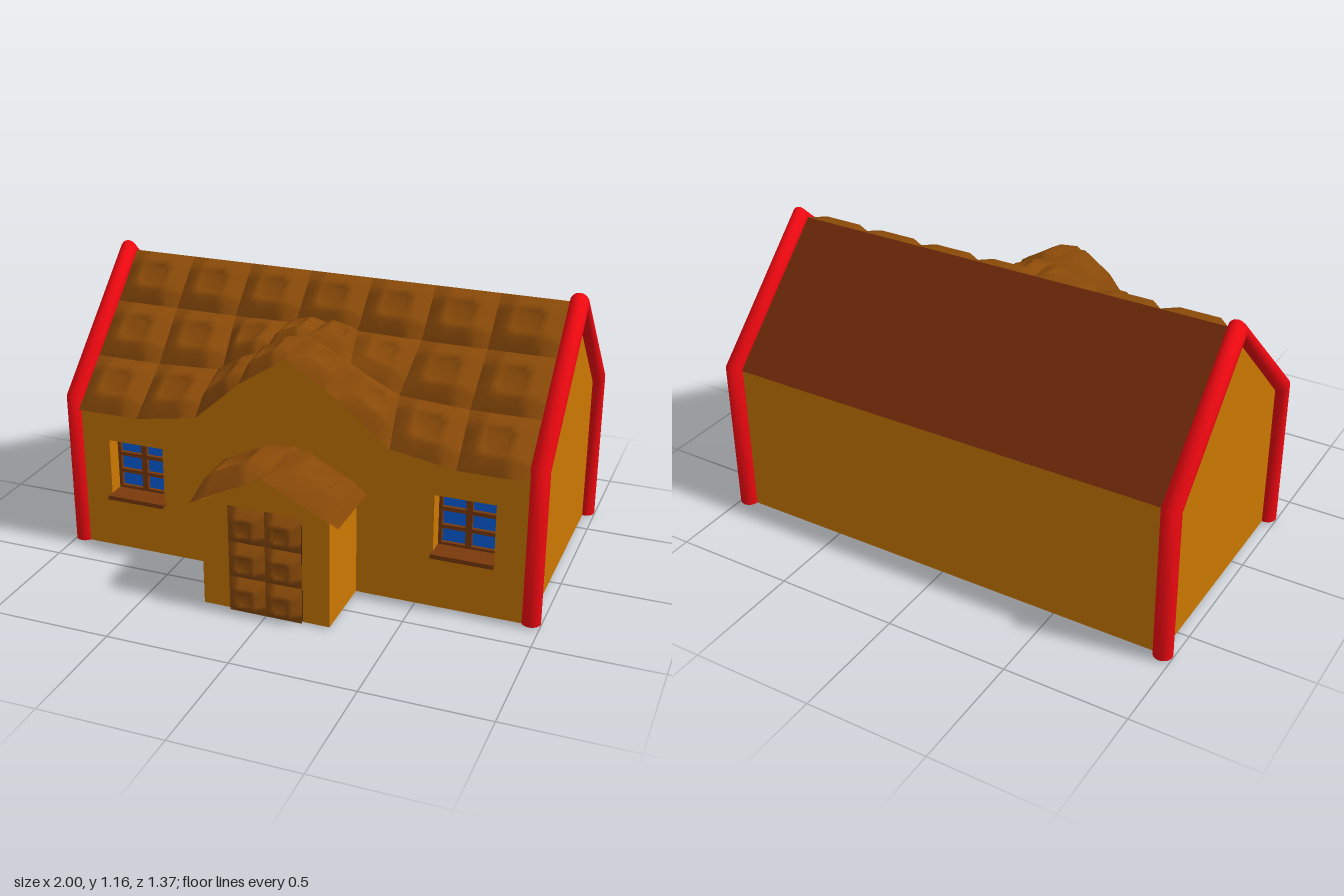
import * as THREE from 'three';

const mat = (color, side = THREE.DoubleSide) => new THREE.MeshStandardMaterial({ color, side });
const wallMat = mat(0xcb7800), tileMat = mat(0x8a4a08), redMat = mat(0xee0810, THREE.FrontSide);
const roofMat = mat(0x6f2908), woodMat = mat(0x7a3a0a), glassMat = mat(0x0a62e0), darkMat = mat(0x050505);

const FRONT = 0.36, BACK = -0.645, PORCH = 0.65, EAVE = 0.65, RIDGE_Y = 1.13, RIDGE_Z = -0.165;

function add(group, name, geometry, material, x = 0, y = 0, z = 0) {
  const mesh = new THREE.Mesh(geometry, material);
  mesh.name = name;
  mesh.position.set(x, y, z);
  group.add(mesh);
}

const shape = pts => new THREE.Shape(pts.map(p => new THREE.Vector2(...p)));

function indexed(pos, idx) {
  const g = new THREE.BufferGeometry();
  g.setAttribute('position', new THREE.Float32BufferAttribute(pos, 3));
  g.setIndex(idx);
  g.computeVertexNormals();
  return g;
}

// Flat four-cornered panel
const quad = (...corners) => indexed(corners.flat(), [0, 1, 2, 0, 2, 3]);

// Padded tile stretched over corners a (top left), b (top right), c (bottom right), d (bottom left)
function tile(corners, h) {
  const [a, b, c, d] = corners.map(p => new THREE.Vector3(...p));
  const normal = c.clone().sub(a).cross(b.clone().sub(d)).normalize();
  const steps = [0, 0.2, 0.31, 0.36, 0.64, 0.69, 0.8, 1];
  const heights = [0, 0.92, 1, 0.6];
  const n = steps.length, pos = [], idx = [];
  for (let j = 0; j < n; j++) for (let i = 0; i < n; i++) {
    const ring = Math.min(i, j, n - 1 - i, n - 1 - j);
    const top = a.clone().lerp(b, steps[i]), bottom = d.clone().lerp(c, steps[i]);
    const p = top.lerp(bottom, steps[j]).addScaledVector(normal, h * heights[ring]);
    pos.push(p.x, p.y, p.z);
    if (i < n - 1 && j < n - 1) {
      const k = j * n + i;
      idx.push(k, k + n, k + 1, k + 1, k + n, k + n + 1);
    }
  }
  return indexed(pos, idx);
}

// Round bar bent along the gable outline, given as [z, y] points
function gableTrim(path, r, sides = 16) {
  const pos = [], idx = [], n = path.length;
  const unit = (s, e) => new THREE.Vector2(e[0] - s[0], e[1] - s[1]).normalize();
  path.forEach(([z, y], k) => {
    const t = new THREE.Vector2();
    if (k > 0) t.add(unit(path[k - 1], path[k]));
    if (k < n - 1) t.add(unit(path[k], path[k + 1]));
    t.normalize();
    for (let i = 0; i < sides; i++) {
      const w = i / sides * Math.PI * 2, o = r * Math.cos(w);
      pos.push(r * Math.sin(w), y + t.x * o, z - t.y * o);
      if (k < n - 1) {
        const u = k * sides + i, v = k * sides + (i + 1) % sides;
        idx.push(u, u + sides, v, v, u + sides, v + sides);
      }
    }
  });
  // End caps
  for (let i = 1; i < sides - 1; i++) {
    const e = (n - 1) * sides;
    idx.push(0, i, i + 1, e, e + i + 1, e + i);
  }
  return indexed(pos, idx);
}

function makeWindow() {
  const g = new THREE.Group(), w = 0.24, h = 0.25, depth = 0.08;
  g.name = 'window';
  add(g, 'glass', new THREE.PlaneGeometry(w, h), glassMat, 0, 0, -depth);
  for (const s of [-1, 1]) {
    add(g, 'sideReveal', new THREE.PlaneGeometry(depth, h).rotateY(Math.PI / 2), wallMat, s * w / 2, 0, -depth / 2);
    add(g, 'endReveal', new THREE.PlaneGeometry(w, depth).rotateX(Math.PI / 2), wallMat, 0, s * h / 2, -depth / 2);
    add(g, 'frameSide', new THREE.BoxGeometry(0.014, h, 0.03), woodMat, s * (w / 2 - 0.007), 0, -depth);
  }
  add(g, 'middleBar', new THREE.BoxGeometry(0.025, h, 0.03), woodMat, 0, 0, -depth);
  for (let i = 0; i < 4; i++)
    add(g, 'crossBar', new THREE.BoxGeometry(w, 0.016, 0.03), woodMat, 0, -0.11 + i * 0.0757, -depth);
  add(g, 'sill', new THREE.BoxGeometry(w + 0.01, 0.018, depth + 0.03), woodMat, 0, -0.122, -0.027);
  return g;
}

export function createModel() {
  const model = new THREE.Group();

  // Front wall with a raised gable, an opening to the porch and two window holes
  const front = shape([[-0.95, 0.01], [-0.26, 0.01], [-0.26, 0.44], [0, 0.585], [0.26, 0.44], [0.26, 0.01],
    [0.95, 0.01], [0.95, 0.645], [0.66, 0.64], [0.4, 0.685], [0.2, 0.85], [0, 0.98], [-0.2, 0.85], [-0.4, 0.685],
    [-0.66, 0.64], [-0.95, 0.645]]);
  for (const s of [-1, 1]) {
    const x = s * 0.69, y = 0.363;
    front.holes.push(new THREE.Path([[-1, -1], [-1, 1], [1, 1], [1, -1]]
      .map(([i, j]) => new THREE.Vector2(x + i * 0.12, y + j * 0.125))));
    const win = makeWindow();
    win.position.set(x, y, FRONT);
    model.add(win);
  }
  add(model, 'frontWall', new THREE.ShapeGeometry(front), wallMat, 0, 0, FRONT);

  // Back wall and plain back roof
  add(model, 'backWall', quad([0.95, 0.01, BACK], [-0.95, 0.01, BACK], [-0.95, EAVE, BACK], [0.95, EAVE, BACK]), wallMat);
  add(model, 'backRoof', quad([0.94, EAVE, BACK - 0.005], [-0.94, EAVE, BACK - 0.005],
    [-0.94, RIDGE_Y, RIDGE_Z], [0.94, RIDGE_Y, RIDGE_Z]), roofMat);

  // Gable ends with red trim
  const outline = [[0.342, 0.01], [0.342, EAVE], [RIDGE_Z, RIDGE_Y], [BACK, EAVE], [BACK, 0.01]];
  for (const s of [-1, 1]) {
    const gable = new THREE.ShapeGeometry(shape(outline.map(([z, y]) => [-z, y]))).rotateY(Math.PI / 2);
    add(model, 'gableWall', gable, wallMat, s * 0.955);
    add(model, 'gableTrim', gableTrim(outline, 0.038), redMat, s * 0.962);
  }

  // Padded front roof: rows of corner points for one half, lifted over the raised gable
  const rows = [
    [[0, RIDGE_Y, RIDGE_Z], ...[0.131, 0.394, 0.657, 0.925].map(x => [x, RIDGE_Y, RIDGE_Z])],
    [[0, 0.985, 0.01], [0.131, 0.965, 0.01], [0.394, 0.96, 0.01], [0.657, 0.96, 0.01], [0.925, 0.96, 0.01]],
    [[0, 1.0, 0.22], [0.18, 0.91, 0.22], [0.37, 0.8, 0.2], [0.65, 0.785, 0.2], [0.925, 0.785, 0.2]],
    [[0, 0.98, 0.43], [0.2, 0.845, 0.42], [0.4, 0.665, 0.395], [0.66, 0.62, 0.395], [0.92, 0.62, 0.395]],
  ];
  const flip = ([x, y, z]) => [-x, y, z];
  const mirroredTile = (name, a, b, c, d, h) => {
    add(model, name, tile([a, b, c, d], h), tileMat);
    add(model, name, tile([b, a, d, c].map(flip), h), tileMat);
  };
  for (let j = 0; j < 3; j++) for (let i = 0; i < 4; i++) {
    const [a, b, c, d] = [rows[j][i], rows[j][i + 1], rows[j + 1][i + 1], rows[j + 1][i]];
    if (j === 0 && i === 0) add(model, 'roofTile', tile([flip(b), b, c, flip(c)], 0.04), tileMat);
    else mirroredTile('roofTile', a, b, c, d, 0.04);
  }

  // Porch walls and roof
  const porchFront = shape([[-0.26, 0.01], [-0.15, 0.01], [-0.15, 0.45], [0.15, 0.45], [0.15, 0.01], [0.26, 0.01],
    [0.26, 0.455], [0, 0.59], [-0.26, 0.455]]);
  add(model, 'porchFront', new THREE.ShapeGeometry(porchFront), wallMat, 0, 0, PORCH);
  for (const s of [-1, 1])
    add(model, 'porchSide', new THREE.PlaneGeometry(PORCH - FRONT, 0.445).rotateY(s * Math.PI / 2), wallMat,
      s * 0.26, 0.2325, (PORCH + FRONT) / 2);
  mirroredTile('porchRoofTile', [0, 0.595, FRONT], [0.3, 0.442, FRONT], [0.3, 0.442, 0.665], [0, 0.595, 0.675], 0.06);

  // Padded door
  add(model, 'doorBacking', new THREE.PlaneGeometry(0.3, 0.44), darkMat, 0, 0.23, PORCH - 0.005);
  for (let j = 0; j < 3; j++) {
    const y = 0.003 + j * 0.15, z = PORCH + 0.003;
    mirroredTile('doorPanel', [0, y + 0.15, z], [0.15, y + 0.15, z], [0.15, y, z], [0, y, z], 0.035);
  }
  return model;
}
